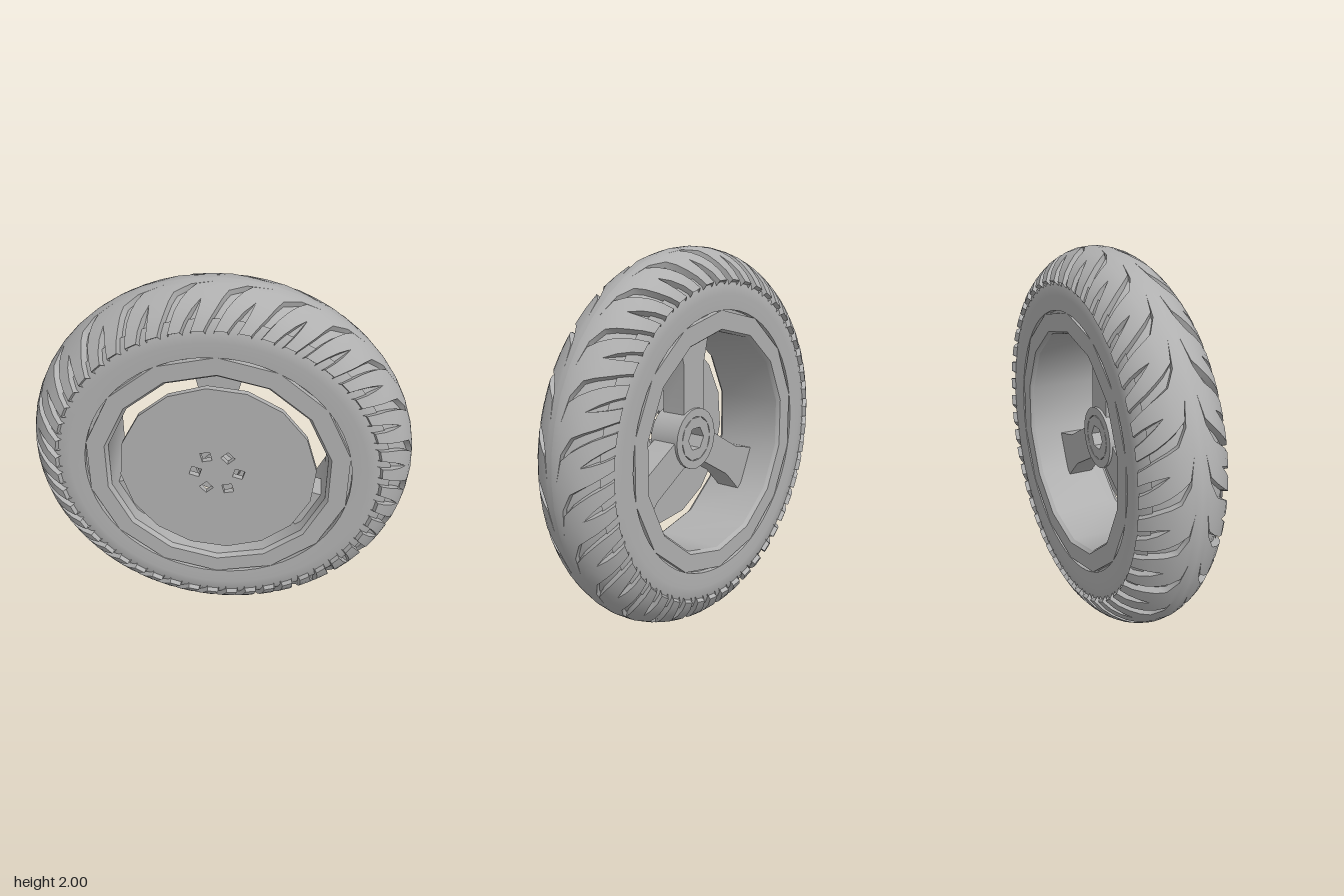
import * as THREE from 'three';
import { toCreasedNormals } from 'three/addons/utils/BufferGeometryUtils.js';

const grey = new THREE.MeshStandardMaterial({ color: 0xb0b0b0, side: THREE.DoubleSide });
grey.name = 'plain grey';

function addMesh(parent, name, geometry, crease = 0.5) {
  const mesh = new THREE.Mesh(toCreasedNormals(geometry, crease), grey);
  mesh.name = name;
  parent.add(mesh);
  return mesh;
}

// Ring turned about the wheel axle (z); profile points are [radius, z].
function turned(profile, segments) {
  const points = profile.map(([r, z]) => new THREE.Vector2(r, z));
  return new THREE.LatheGeometry(points, segments).rotateX(Math.PI / 2);
}

function polygon(Type, radius, sides, turn = 0, x = 0, y = 0) {
  const points = [];
  for (let i = 0; i < sides; i++) {
    const a = turn + (i / sides) * Math.PI * 2;
    points.push(new THREE.Vector2(x + radius * Math.cos(a), y + radius * Math.sin(a)));
  }
  return new Type(points);
}

function slab(shape, z0, z1) {
  return new THREE.ExtrudeGeometry(shape, { depth: z1 - z0, bevelEnabled: false }).translate(0, 0, z0);
}

// Half of the tread: a sheared grid whose columns follow the swept grooves.
function treadHalf(side) {
  const pitches = 24, pitch = (Math.PI * 2) / pitches;
  // z, radius, sweep angle, half width of long groove, half width of short groove
  const rows = [
    [0, 1, 0, 0, 0],
    [0.03, 0.998, 0, 0, 0],
    [0.05, 0.993, 0.12, 0.014, 0],
    [0.09, 0.98, 0.18, 0.034, 0],
    [0.13, 0.958, 0.21, 0.03, 0],
    [0.17, 0.925, 0.24, 0.026, 0.016],
    [0.205, 0.885, 0.27, 0.028, 0.026],
    [0.23, 0.84, 0.3, 0.03, 0.03],
    [0.2, 0.825, 0.3, 0.03, 0.03],
  ];
  const columns = [];
  for (let p = 0; p < pitches; p++) {
    for (let g = 0; g < 2; g++) {
      for (const [s, deep] of [[-1, 0], [-0.75, 1], [0.75, 1], [1, 0]]) {
        columns.push({ angle: (p + g * 0.5) * pitch, s, deep, g });
      }
    }
  }
  const positions = [], index = [], n = columns.length;
  rows.forEach(([z, r, sweep, wLong, wShort], j) => {
    for (const { angle, s, deep, g } of columns) {
      const width = g ? wShort : wLong;
      const cut = deep && width > 0 && j < rows.length - 1 ? 1 : 0;
      const a = angle + sweep + s * width;
      const radius = r - 0.028 * cut;
      positions.push(radius * Math.cos(a), radius * Math.sin(a), side * (z - 0.1 * z * cut));
    }
    if (j === 0) return;
    for (let i = 0; i < n; i++) {
      const k = (i + 1) % n;
      const a = (j - 1) * n + i, b = (j - 1) * n + k, c = j * n + k, d = j * n + i;
      if (side > 0) index.push(a, d, b, b, d, c);
      else index.push(a, b, d, b, c, d);
    }
  });
  const geometry = new THREE.BufferGeometry();
  geometry.setAttribute('position', new THREE.Float32BufferAttribute(positions, 3));
  geometry.setIndex(index);
  return geometry;
}

export function createModel() {
  const wheel = new THREE.Group();
  wheel.name = 'wheel';
  wheel.position.y = 1;

  // Tyre: grooved tread and two smooth sidewalls
  for (const side of [1, -1]) {
    const label = side > 0 ? 'front' : 'back';
    addMesh(wheel, label + 'Tread', treadHalf(side));
    const wall = [[0.69, 0.17], [0.69, 0.208], [0.77, 0.212], [0.835, 0.208], [0.88, 0.18]];
    if (side > 0) wall.reverse();
    addMesh(wheel, label + 'Sidewall', turned(wall.map(([r, z]) => [r, z * side]), 56));
    // floor under the crescent gaps where the faceted rim meets the round tyre
    addMesh(wheel, label + 'Bead', new THREE.RingGeometry(0.64, 0.7, 56)
      .rotateY(side > 0 ? 0 : Math.PI).translate(0, 0, side * 0.178));
  }

  // Rim: fourteen-sided faces with a lip and an inner barrel
  addMesh(wheel, 'rim', turned([
    [0.69, -0.175], [0.69, -0.206], [0.595, -0.206], [0.582, -0.185], [0.578, 0.185],
    [0.595, 0.206], [0.69, 0.206], [0.69, 0.175],
  ].reverse(), 14), 0.5);

  // Brake disc with six square holes, closing the front
  const disc = polygon(THREE.Shape, 0.512, 16, 0.1);
  for (let i = 0; i < 6; i++) {
    const a = (i * Math.PI) / 3;
    disc.holes.push(polygon(THREE.Path, 0.037, 4, a + 0.5, 0.113 * Math.cos(a), 0.113 * Math.sin(a)));
  }
  addMesh(wheel, 'brakeDisc', slab(disc, 0.165, 0.195));

  // Three spokes that flare into the barrel
  const spoke = new THREE.Shape();
  spoke.moveTo(-0.085, 0.1);
  spoke.lineTo(-0.085, 0.4);
  spoke.lineTo(-0.13, 0.572);
  spoke.lineTo(0.13, 0.572);
  spoke.lineTo(0.085, 0.4);
  spoke.lineTo(0.085, 0.1);
  spoke.closePath();
  for (let i = 0; i < 3; i++) {
    addMesh(wheel, 'spoke', slab(spoke, -0.03, 0.11)).rotation.z = (i * Math.PI * 2) / 3;
  }

  // Hub: round collar around a faceted bearing with a hexagonal bore
  const collar = polygon(THREE.Shape, 0.165, 24);
  collar.holes.push(polygon(THREE.Path, 0.12, 40));
  addMesh(wheel, 'hubCollar', slab(collar, -0.045, 0.13));
  const bearing = polygon(THREE.Shape, 0.12, 10);
  bearing.holes.push(polygon(THREE.Path, 0.066, 6));
  addMesh(wheel, 'hubBearing', slab(bearing, -0.045, 0.12));
  const sleeve = polygon(THREE.Shape, 0.08, 12);
  sleeve.holes.push(polygon(THREE.Path, 0.045, 6));
  addMesh(wheel, 'axleSleeve', slab(sleeve, 0.1, 0.165));

  const model = new THREE.Group();
  model.name = 'motorcycleWheel';
  model.add(wheel);
  return model;
}
